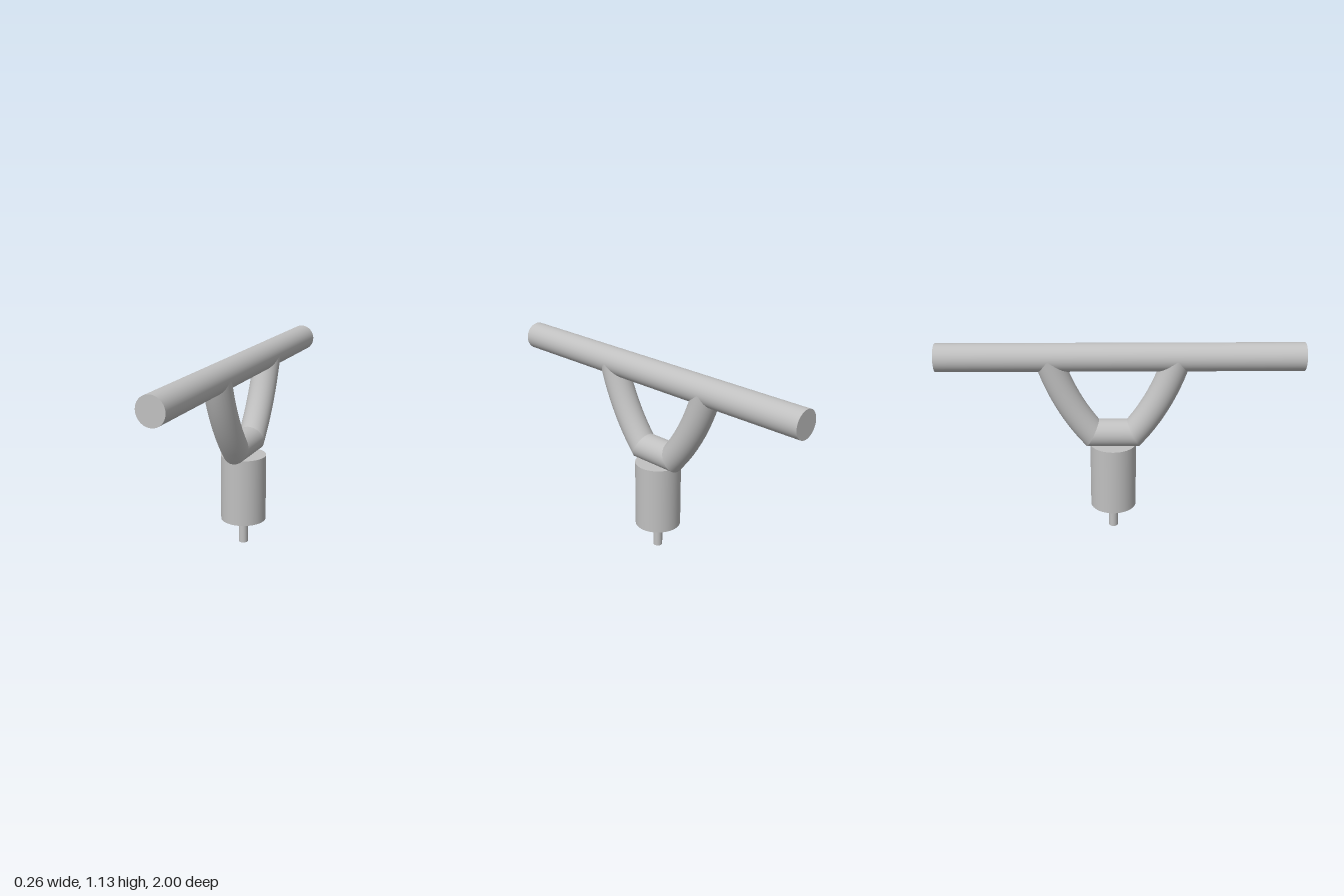
import * as THREE from 'three';

const TUBE_R = 0.078;   // shared radius of bar, arms and bridge
const HUB_Z = -0.04;    // the hub and fork sit slightly behind the bar's middle
const BRIDGE_Y = 0.604;
const HALF_BRIDGE = 0.115;
const ARM_ANGLE = THREE.MathUtils.degToRad(50); // arm direction where it leaves the bridge
const MITRE = Math.tan(ARM_ANGLE / 2);

export function createModel() {
  const model = new THREE.Group();
  const gray = new THREE.MeshStandardMaterial({ color: 0xc0c0c0 });
  gray.name = 'gray';
  const openGray = gray; // one colour throughout

  const add = (name, geometry, y = 0, z = 0) => {
    const mesh = new THREE.Mesh(geometry, openGray);
    mesh.name = name;
    mesh.position.set(0, y, z);
    model.add(mesh);
  };

  // Long horizontal bar
  add('bar', new THREE.CylinderGeometry(TUBE_R, TUBE_R, 2, 64).rotateX(Math.PI / 2), 1.054);

  // Hub and the pin below it
  add('hub', new THREE.CylinderGeometry(0.13, 0.13, 0.39, 64), 0.345, HUB_Z);
  add('pin', new THREE.CylinderGeometry(0.026, 0.026, 0.16, 32), 0.08, HUB_Z);

  // Bridge over the hub, its ends cut on the mitre
  const bridge = new THREE.CylinderGeometry(TUBE_R, TUBE_R, 2 * HALF_BRIDGE, 64, 1, true).rotateX(Math.PI / 2);
  const bp = bridge.attributes.position;
  for (let i = 0; i < bp.count; i++) {
    bp.setZ(i, bp.getZ(i) - Math.sign(bp.getZ(i)) * bp.getY(i) * MITRE);
  }
  add('bridge', bridge, BRIDGE_Y, HUB_Z);

  // Curved arms rising to the bar, mirrored front and back
  for (const side of [1, -1]) {
    const start = new THREE.Vector3(0, BRIDGE_Y, side * HALF_BRIDGE);
    const tangent = new THREE.Vector3(0, Math.sin(ARM_ANGLE), side * Math.cos(ARM_ANGLE));
    const inward = new THREE.Vector3(0, Math.cos(ARM_ANGLE), -side * Math.sin(ARM_ANGLE));
    const path = new THREE.QuadraticBezierCurve3(
      start,
      start.clone().addScaledVector(tangent, 0.25),
      new THREE.Vector3(0, 1.05, side * 0.35)
    );
    const arm = new THREE.TubeGeometry(path, 10, TUBE_R, 64);
    // Slide the first ring along the tangent onto the mitre plane
    const pos = arm.attributes.position;
    const v = new THREE.Vector3();
    for (let i = 0; i <= 64; i++) {
      v.fromBufferAttribute(pos, i);
      const offset = v.clone().sub(start).dot(inward);
      v.addScaledVector(tangent, offset * MITRE);
      pos.setXYZ(i, v.x, v.y, v.z);
    }
    add(side > 0 ? 'frontArm' : 'backArm', arm, 0, HUB_Z);
  }

  return model;
}
